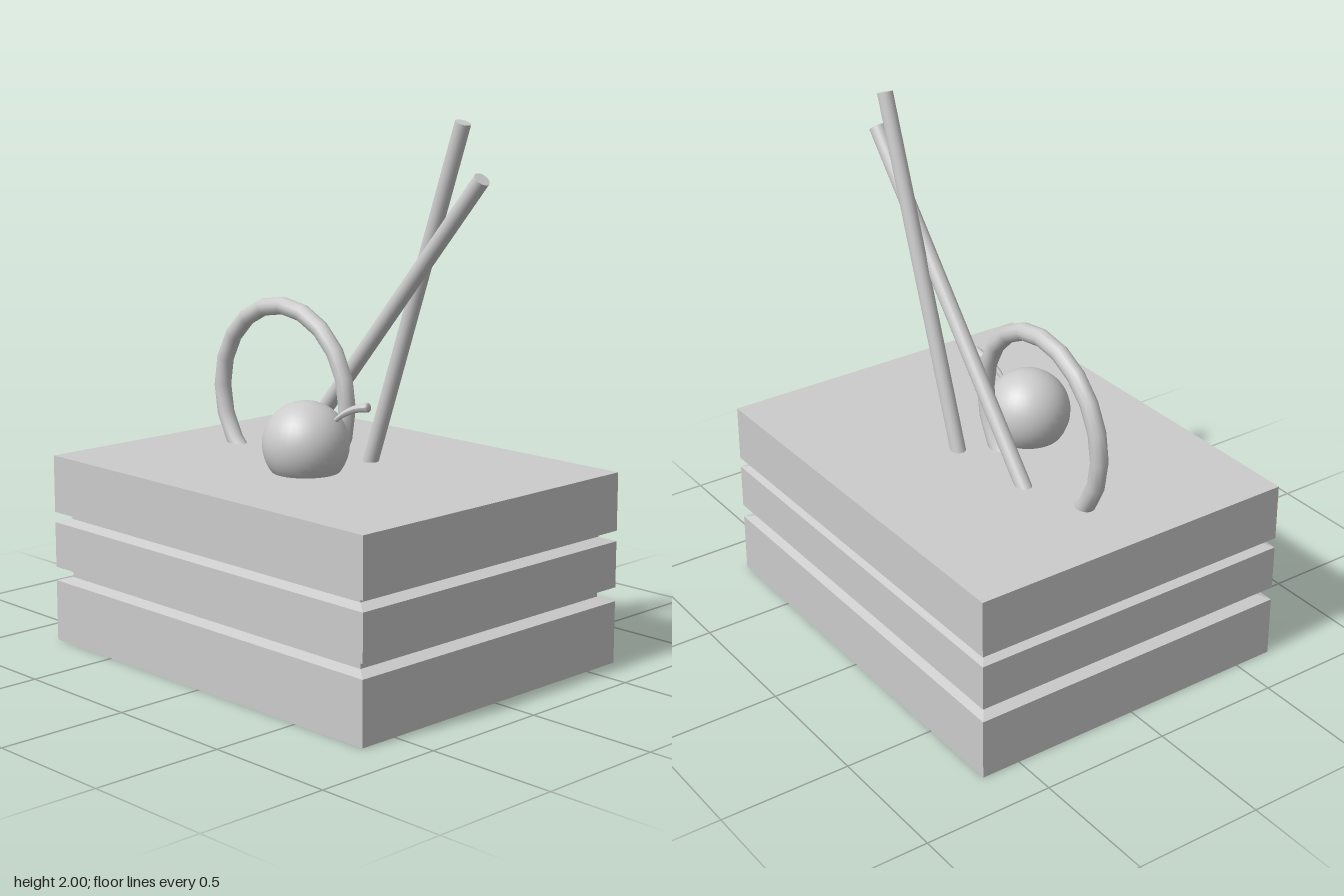
import * as THREE from 'three';

const smooth = new THREE.MeshStandardMaterial({ color: 0xcccccc });
const flat = new THREE.MeshStandardMaterial({ color: 0xcccccc, flatShading: true });

function part(name, geometry, material = smooth) {
  const mesh = new THREE.Mesh(geometry, material);
  mesh.name = name;
  return mesh;
}

// Straight round stick between two points
function stick(name, from, to, radius) {
  const a = new THREE.Vector3(...from), b = new THREE.Vector3(...to);
  const dir = b.clone().sub(a);
  const mesh = part(name, new THREE.CylinderGeometry(radius, radius, dir.length(), 20));
  mesh.position.copy(a).add(b).multiplyScalar(0.5);
  mesh.quaternion.setFromUnitVectors(new THREE.Vector3(0, 1, 0), dir.normalize());
  return mesh;
}

// Rectangular block: four-sided lathe with two grooves between the layers
function layeredBlock() {
  const inset = 0.937;
  const profile = [[0, 0], [1, 0]];
  for (const [low, high] of [[0.235, 0.288], [0.462, 0.502]]) {
    profile.push([1, low], [inset, low + 0.015], [inset, high - 0.012], [1, high]);
  }
  profile.push([1, 0.72], [0, 0.72]);
  const points = profile.map(([r, y]) => new THREE.Vector2(r * Math.SQRT2, y));
  const geometry = new THREE.LatheGeometry(points, 4, Math.PI / 4);
  geometry.scale(0.825, 1, 0.652);
  return part('layeredCake', geometry, flat);
}

// Curved stem that widens toward its closed tip
function stem() {
  const curve = new THREE.CatmullRomCurve3([
    [0.12, 0.9, 0.115], [0.16, 0.937, 0.108], [0.21, 0.965, 0.095], [0.28, 0.982, 0.085],
  ].map((p) => new THREE.Vector3(...p)));
  const rings = 12, sides = 10;
  const geometry = new THREE.TubeGeometry(curve, rings, 1, sides);
  const pos = geometry.attributes.position, v = new THREE.Vector3();
  for (let i = 0; i <= rings; i++) {
    const centre = curve.getPointAt(i / rings);
    // the last ring closes the tip as a flat cap
    const tip = i === rings;
    const target = tip ? curve.getPointAt((i - 1) / rings) : centre;
    const radius = tip ? 0 : 0.006 + 0.011 * i / (rings - 1);
    for (let j = 0; j <= sides; j++) {
      const k = i * (sides + 1) + j;
      v.fromBufferAttribute(pos, k).sub(centre).multiplyScalar(radius).add(target);
      pos.setXYZ(k, v.x, v.y, v.z);
    }
  }
  // stretch the tip to its full length
  geometry.translate(-0.12, -0.9, -0.115).scale(1.08, 1.05, 1.08).translate(0.12, 0.9, 0.115);
  geometry.computeVertexNormals();
  return part('cherryStem', geometry);
}

export function createModel() {
  const model = new THREE.Group();
  model.name = 'decoratedCake';
  model.add(layeredBlock());

  // Ring sunk partly into the top
  const ring = part('ring', new THREE.TorusGeometry(0.344, 0.033, 12, 20));
  ring.position.set(-0.265, 0.937, -0.005);
  model.add(ring);

  // Crossed sticks, with their feet inside the cake
  model.add(
    stick('uprightStick', [0.034, 0.62, -0.138], [0.515, 1.99, -0.138], 0.029),
    stick('leaningStick', [-0.365, 0.62, -0.093], [0.647, 1.805, -0.093], 0.03),
  );

  // Cherry resting in the top
  const cherry = part('cherry', new THREE.SphereGeometry(0.16, 32, 20));
  cherry.position.set(0.022, 0.82, 0.148);
  model.add(cherry, stem());

  return model;
}
